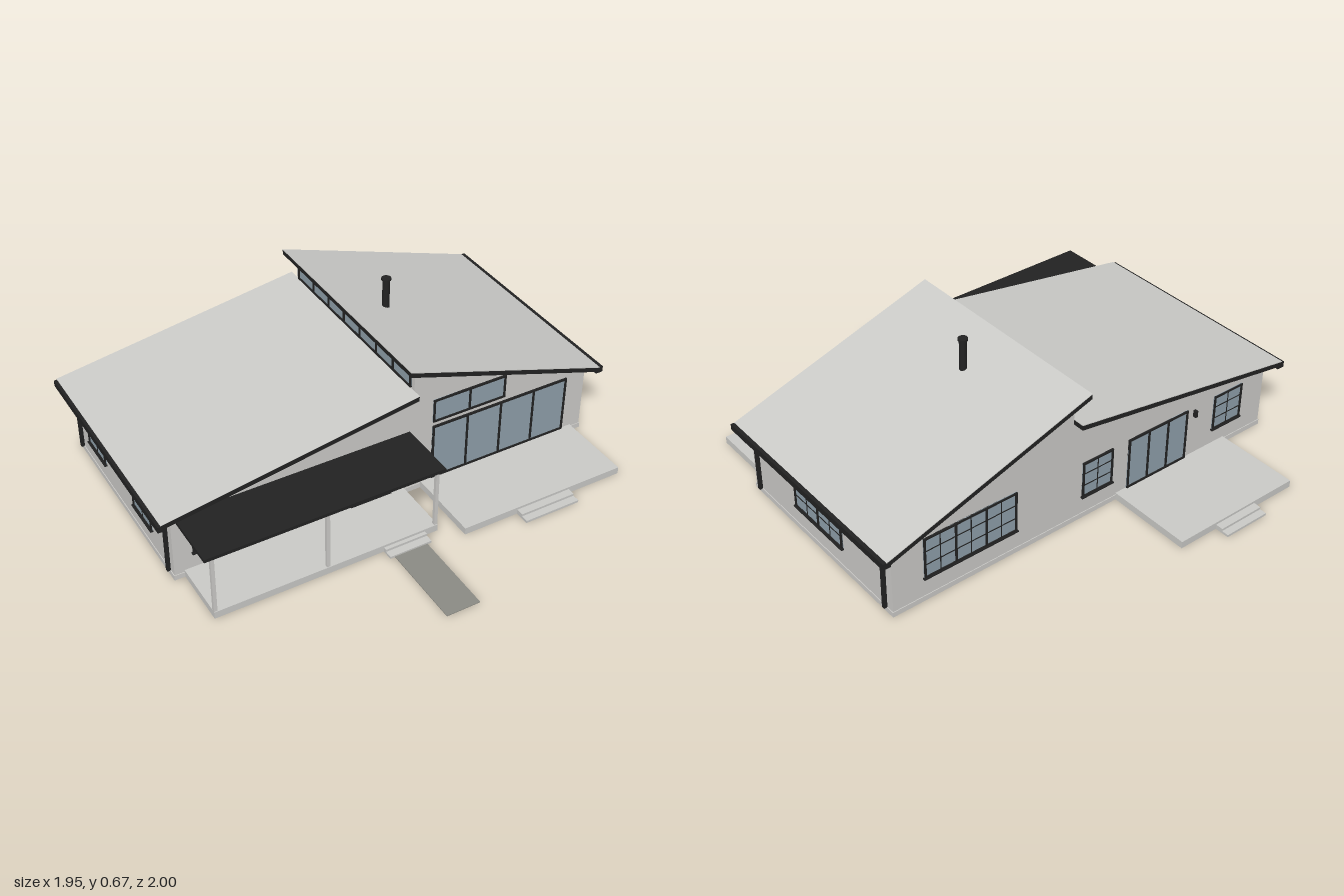
import * as THREE from 'three';

const mat = (name, color) => Object.assign(new THREE.MeshStandardMaterial({ color }), { name });

export function createModel() {
  const wall = mat('wall plaster', 0xcccbc8);
  const deckMat = mat('deck concrete', 0xcacac7);
  const roofMat = mat('roof sheet', 0xcbcbc8);
  const black = mat('black trim', 0x222222);
  const glass = mat('window glass', 0x8fa0ab);
  const pathMat = mat('path paving', 0x8b8b84);
  const metal = mat('handle metal', 0xb8b8b8);

  const house = new THREE.Group();
  house.name = 'house';

  // Box given by its lower and upper limits
  function box(name, m, x0, x1, y0, y1, z0, z1, parent = house) {
    const mesh = new THREE.Mesh(new THREE.BoxGeometry(x1 - x0, y1 - y0, z1 - z0), m);
    mesh.position.set((x0 + x1) / 2, (y0 + y1) / 2, (z0 + z1) / 2);
    mesh.name = name;
    parent.add(mesh);
    return mesh;
  }

  // Profile in x and y, extruded along z
  function prism(name, m, pts, z0, z1) {
    const shape = new THREE.Shape(pts.map(p => new THREE.Vector2(p[0], p[1])));
    const g = new THREE.ExtrudeGeometry(shape, { depth: z1 - z0, bevelEnabled: false });
    g.translate(0, 0, z0);
    const mesh = new THREE.Mesh(g, m);
    mesh.name = name;
    house.add(mesh);
  }

  const W = 0.915, ZF = 0.35, ZB = -0.572, RF = 0.387, RB = -0.62;

  // Walls with the stepped double-pitch gable, and a low plinth
  prism('walls', wall, [[-W, 0], [W, 0], [W, 0.307], [0.1, 0.573], [0.1, 0.468], [-W, 0.304]], ZB, ZF);
  box('plinth', wall, -W - 0.003, W + 0.003, 0, 0.022, ZB - 0.003, ZF + 0.003);

  // Roofs: black slab with a light sheet on top
  function roof(name, x0, y0, x1, y1) {
    const band = (top, bottom) => [[x0, y0 - bottom], [x1, y1 - bottom], [x1, y1 - top], [x0, y0 - top]];
    prism(name + 'Slab', black, band(0.003, 0.023), RB, RF);
    prism(name + 'Sheet', roofMat, band(0, 0.003), RB, RF);
  }
  roof('lowRoof', -0.965, 0.314, 0.1, 0.484);
  roof('highRoof', 0.06, 0.605, 0.965, 0.308);

  // Gutters and downpipes on both eaves
  for (const s of [-1, 1]) {
    const span = (a, b) => s > 0 ? [a, b] : [-b, -a];
    box('gutter', black, ...span(0.945, 0.977), 0.283, 0.309, RB, RF);
    for (const z of [0.31, -0.53]) {
      box('downpipe', black, ...span(W, W + 0.014), 0.02, 0.285, z - 0.007, z + 0.007);
      box('downpipeElbow', black, ...span(W, 0.965), 0.262, 0.285, z - 0.007, z + 0.007);
    }
  }

  // Each face of the house: position from a coordinate along it, and its turn
  const faces = {
    front: [u => [u, ZF], 0],
    back: [u => [u, ZB], Math.PI],
    right: [u => [W, u], Math.PI / 2],
    left: [u => [-W, u], -Math.PI / 2],
    step: [u => [0.1, u], -Math.PI / 2],
  };
  function onFace(name, face, u) {
    const g = new THREE.Group();
    const [x, z] = faces[face][0](u);
    g.position.set(x, 0, z);
    g.rotation.y = faces[face][1];
    g.name = name;
    house.add(g);
    return g;
  }

  // Framed window: sashes side by side, each with thin glazing bars
  function windowUnit(name, face, a, b, y0, y1, { sashes = 1, cols = 1, rows = 1, sill = true } = {}) {
    const g = onFace(name, face, (a + b) / 2);
    const h = Math.abs(b - a) / 2, f = 0.008;
    box('pane', glass, -h, h, y0, y1, -0.001, 0.003, g);
    for (const y of [y0, y1 - f]) box('frameRail', black, -h, h, y, y + f, 0, 0.008, g);
    const sw = (2 * h - f) / sashes;
    for (let i = 0; i <= sashes; i++) {
      const x = -h + i * sw;
      box('frameStile', black, x, x + f, y0, y1, 0, 0.008, g);
      if (i === sashes) break;
      for (let c = 1; c < cols; c++) {
        const cx = x + f / 2 + sw * c / cols;
        box('glazingBar', black, cx - 0.0018, cx + 0.0018, y0, y1, 0, 0.005, g);
      }
    }
    for (let r = 1; r < rows; r++) {
      const y = y0 + (y1 - y0) * r / rows;
      box('glazingBar', black, -h, h, y - 0.0018, y + 0.0018, 0, 0.005, g);
    }
    if (sill) box('sill', black, -h - 0.004, h + 0.004, y0 - 0.003, y0 + 0.003, 0, 0.012, g);
  }

  windowUnit('porchWindowSmall', 'front', -0.838, -0.707, 0.1, 0.26, { cols: 2, rows: 3 });
  windowUnit('porchWindowWide', 'front', -0.598, -0.321, 0.1, 0.26, { sashes: 2, cols: 2, rows: 3 });
  windowUnit('terraceDoors', 'front', 0.187, 0.823, 0.03, 0.285, { sashes: 4, sill: false });
  windowUnit('upperWindow', 'front', 0.187, 0.52, 0.305, 0.41, { sashes: 2, sill: false });
  windowUnit('sideWindow', 'right', -0.268, 0.045, 0.105, 0.27, { sashes: 2, cols: 2, rows: 3 });
  windowUnit('sideWindowBack', 'left', -0.44, -0.27, 0.1, 0.26, { cols: 2, rows: 3 });
  windowUnit('sideWindowFront', 'left', 0.0, 0.17, 0.1, 0.26, { cols: 2, rows: 3 });
  windowUnit('backWindowWide', 'back', 0.365, 0.78, 0.105, 0.285, { sashes: 3, cols: 2, rows: 3 });
  windowUnit('backWindowMiddle', 'back', -0.1, 0.05, 0.1, 0.26, { cols: 2, rows: 3 });
  windowUnit('backDoors', 'back', -0.49, -0.18, 0.03, 0.26, { sashes: 3, sill: false });
  windowUnit('backWindowEnd', 'back', -0.79, -0.635, 0.1, 0.26, { cols: 2, rows: 3 });
  windowUnit('clerestory', 'step', -0.55, 0.33, 0.49, 0.566, { sashes: 7, sill: false });

  // Front door with glazed sidelight and handle
  windowUnit('doorSidelight', 'front', -0.175, -0.11, 0.03, 0.253, { sill: false });
  const door = onFace('frontDoor', 'front', -0.055);
  box('doorLeaf', black, -0.06, 0.06, 0.03, 0.253, 0, 0.008, door);
  box('doorHandle', metal, 0.034, 0.038, 0.125, 0.15, 0.008, 0.013, door);
  box('doorLever', metal, 0.022, 0.038, 0.136, 0.14, 0.012, 0.016, door);

  // Wall lamps
  for (const [face, u] of [['front', -0.205], ['front', 0.025], ['back', -0.53]]) {
    box('lampBody', black, -0.006, 0.006, 0.213, 0.243, 0, 0.015, onFace('wallLamp', face, u));
  }

  // Porch: deck, canopy and posts
  box('porchDeck', deckMat, -0.875, 0.062, 0, 0.03, ZF, 0.6);
  box('porchCanopy', black, -0.902, 0.085, 0.284, 0.298, ZF, 0.605);
  for (const x of [-0.868, -0.409, 0.055]) {
    box('porchPost', wall, x - 0.007, x + 0.007, 0.03, 0.284, 0.583, 0.597);
  }
  box('porchStepUpper', deckMat, -0.175, 0.005, 0, 0.02, 0.6, 0.615);
  box('porchStepLower', deckMat, -0.175, 0.005, 0, 0.01, 0.6, 0.647);
  box('path', pathMat, -0.155, -0.013, 0, 0.003, 0.64, 1);

  // Front terrace and back terrace with two steps each
  box('frontTerrace', deckMat, 0.14, 0.868, 0, 0.03, ZF, 0.672);
  box('frontStepUpper', deckMat, 0.38, 0.625, 0, 0.02, 0.67, 0.704);
  box('frontStepLower', deckMat, 0.38, 0.625, 0, 0.01, 0.67, 0.735);
  box('backTerrace', deckMat, -0.71, -0.127, 0, 0.03, -0.938, ZB);
  box('backStepUpper', deckMat, -0.51, -0.305, 0, 0.02, -0.97, -0.936);
  box('backStepLower', deckMat, -0.51, -0.305, 0, 0.01, -1, -0.936);

  // Flue pipe with cap
  function flue(name, r, y0, y1) {
    const mesh = new THREE.Mesh(new THREE.CylinderGeometry(r, r, y1 - y0, 24), black);
    mesh.position.set(0.262, (y0 + y1) / 2, -0.128);
    mesh.name = name;
    house.add(mesh);
  }
  flue('chimneyPipe', 0.015, 0.5, 0.665);
  flue('chimneyCap', 0.02, 0.663, 0.671);

  return house;
}
